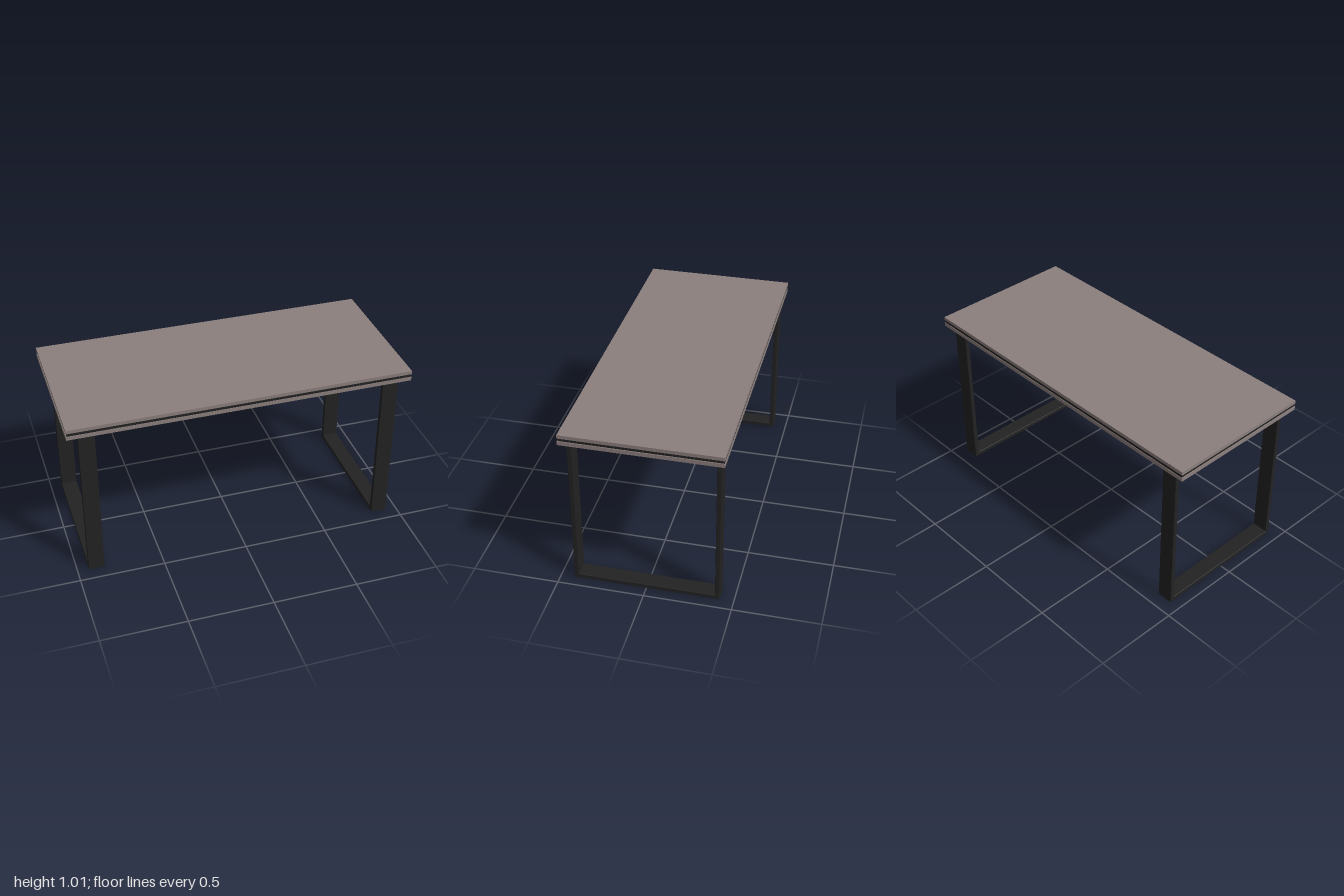
import * as THREE from 'three';

export function createModel() {
  const wood = new THREE.MeshStandardMaterial({ color: 0x8b7f7d });
  wood.name = 'greyBrownWood';
  const metal = new THREE.MeshStandardMaterial({ color: 0x222222 });
  metal.name = 'blackMetal';

  const model = new THREE.Group();
  model.name = 'table';

  // Layered top: two boards with a slightly recessed dark core between them
  function addLayer(name, width, depth, bottom, top, material) {
    const mesh = new THREE.Mesh(new THREE.BoxGeometry(width, top - bottom, depth), material);
    mesh.name = name;
    mesh.position.y = (top + bottom) / 2;
    model.add(mesh);
  }
  addLayer('lowerBoard', 2, 0.892, 0.949, 0.972, wood);
  addLayer('darkCore', 1.99, 0.886, 0.972, 0.99, metal);
  addLayer('upperBoard', 2, 0.892, 0.99, 1.011, wood);

  // Closed rectangular leg frames with finely chamfered edges
  const height = 0.949, depth = 0.838, tube = 0.026, width = 0.095, bevel = 0.002;
  function rectangle(target, halfZ, y0, y1) {
    target.moveTo(-halfZ, y0);
    target.lineTo(halfZ, y0);
    target.lineTo(halfZ, y1);
    target.lineTo(-halfZ, y1);
    target.closePath();
    return target;
  }
  const profile = rectangle(new THREE.Shape(), depth / 2, 0, height);
  profile.holes.push(rectangle(new THREE.Path(), depth / 2 - tube, tube, height - tube));
  const frame = new THREE.ExtrudeGeometry(profile, {
    depth: width - 2 * bevel,
    bevelEnabled: true,
    bevelSize: bevel,
    bevelThickness: bevel,
    bevelOffset: -bevel,
    bevelSegments: 1,
  });
  frame.translate(0, 0, bevel - width / 2);
  frame.rotateY(Math.PI / 2);

  for (const side of [-1, 1]) {
    const leg = new THREE.Mesh(frame, metal);
    leg.name = side > 0 ? 'leftLegFrame' : 'rightLegFrame';
    leg.position.x = side * 0.887;
    model.add(leg);
  }
  return model;
}
